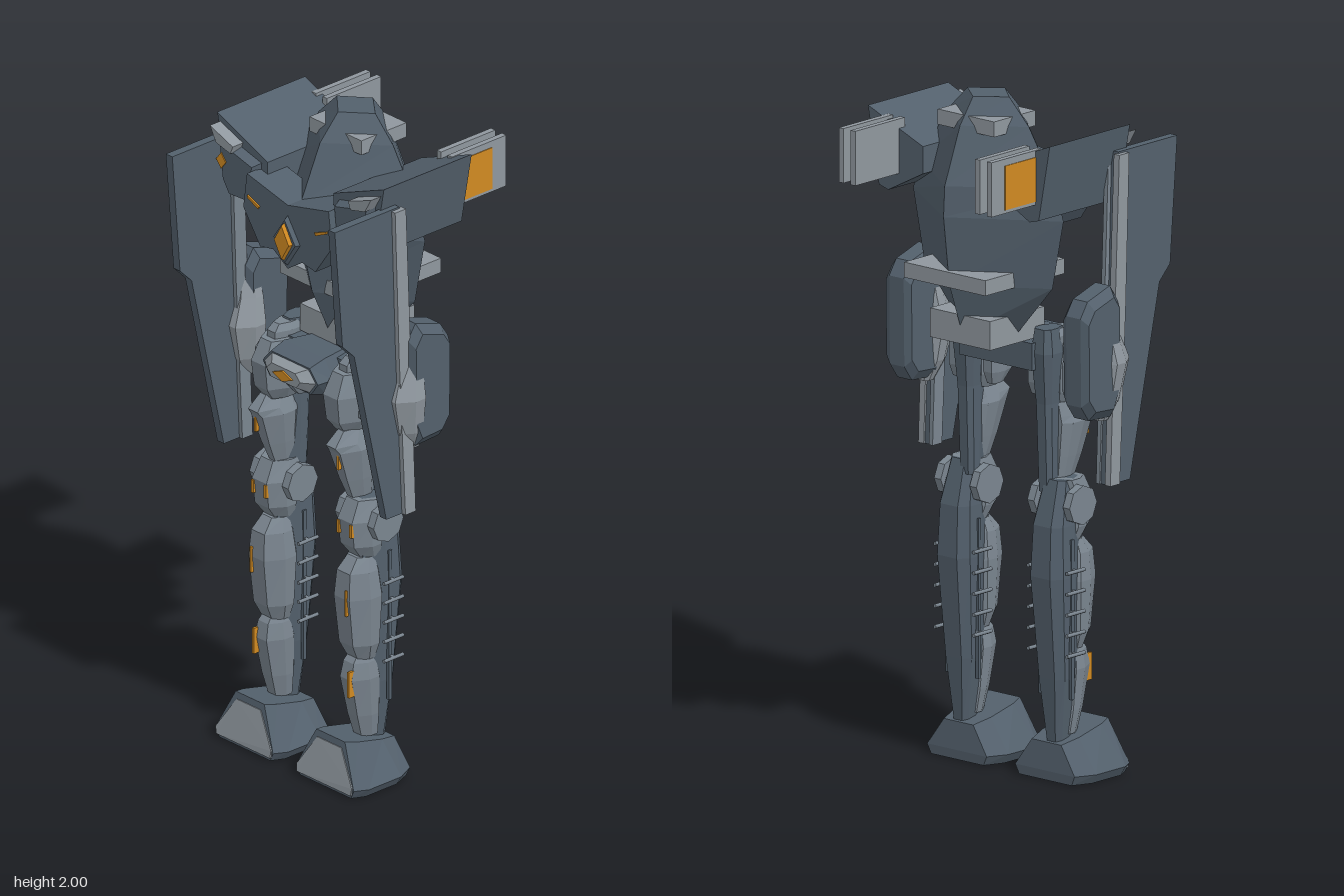
import * as THREE from 'three';

const armour = new THREE.MeshStandardMaterial({ color: 0x53606c });
armour.name = 'dark slate armour';
const light = new THREE.MeshStandardMaterial({ color: 0x8f979e });
light.name = 'light grey metal';
const grey = new THREE.MeshStandardMaterial({ color: 0x7a858f });
grey.name = 'mid grey plating';
const orange = new THREE.MeshStandardMaterial({ color: 0xd08a22 });
orange.name = 'orange glow';

// Faceted solid through rings of [x, y, z] corners, capped at both ends
function loft(rings) {
  const tris = [];
  const n = rings[0].length;
  for (let r = 0; r < rings.length - 1; r++) {
    for (let i = 0; i < n; i++) {
      const j = (i + 1) % n, a = rings[r], b = rings[r + 1];
      tris.push([a[i], a[j], b[j]], [a[i], b[j], b[i]]);
    }
  }
  const cap = (ring, flip) => {
    const flat = ring.map(p => new THREE.Vector3(...p));
    const normal = new THREE.Vector3();
    flat.forEach((p, i) => normal.add(p.clone().cross(flat[(i + 1) % n])));
    const ax = Math.abs(normal.x), ay = Math.abs(normal.y), az = Math.abs(normal.z);
    const to2 = p => ax > ay && ax > az ? new THREE.Vector2(p.y, p.z)
      : ay > az ? new THREE.Vector2(p.z, p.x) : new THREE.Vector2(p.x, p.y);
    const lead = ax > ay && ax > az ? normal.x : ay > az ? normal.y : normal.z;
    for (const f of THREE.ShapeUtils.triangulateShape(flat.map(to2), [])) {
      const [a, b, c] = f.map(i => ring[i]);
      const t = f.map(i => to2(flat[i]));
      const turn = t[1].clone().sub(t[0]).cross(t[2].clone().sub(t[0])) * lead > 0;
      tris.push(turn === flip ? [a, c, b] : [a, b, c]);
    }
  };
  cap(rings[0], true);
  cap(rings[rings.length - 1], false);
  // Turn the faces outwards if the rings ran the other way
  let volume = 0;
  for (const [a, b, c] of tris) {
    volume += new THREE.Vector3(...a).dot(new THREE.Vector3(...b).cross(new THREE.Vector3(...c)));
  }
  const points = tris.flatMap(t => (volume < 0 ? [t[0], t[2], t[1]] : t)).flat();
  const geo = new THREE.BufferGeometry();
  geo.setAttribute('position', new THREE.Float32BufferAttribute(points, 3));
  geo.computeVertexNormals();
  return geo;
}

function add(parent, name, geo, mat) {
  const mesh = new THREE.Mesh(geo, mat);
  mesh.name = name;
  parent.add(mesh);
  return mesh;
}
// Box by its limits
function box(parent, name, mat, x0, x1, y0, y1, z0, z1) {
  const geo = new THREE.BoxGeometry(Math.abs(x1 - x0), y1 - y0, z1 - z0);
  return add(parent, name, geo.translate((x0 + x1) / 2, (y0 + y1) / 2, (z0 + z1) / 2), mat);
}
// Outline in x,y carried along z; s mirrors it
const frontPrism = (pts, z0, z1, s = 1, scale = 1) => {
  const cx = pts.reduce((t, p) => t + p[0], 0) / pts.length;
  const cy = pts.reduce((t, p) => t + p[1], 0) / pts.length;
  return loft([
    pts.map(([x, y]) => [s * x, y, z0]),
    pts.map(([x, y]) => [s * (cx + (x - cx) * scale), cy + (y - cy) * scale, z1]),
  ]);
};
// Outline in z,y carried along x
const sidePrism = (pts, x0, x1) => loft([x0, x1].map(x => pts.map(([z, y]) => [x, y, z])));
const diamond = (x, y, w, h) => [[x - w, y], [x, y - h], [x + w, y], [x, y + h]];
// Upright pod with a chamfered front: rows of [y, half width, back z, front z]
const pod = (cx, rows) => loft(rows.map(([y, w, b, f]) => {
  const m = b + (f - b) * 0.55;
  return [[cx - w * 0.6, y, b], [cx - w, y, b + (f - b) * 0.2], [cx - w, y, m], [cx - w * 0.5, y, f],
    [cx + w * 0.5, y, f], [cx + w, y, m], [cx + w, y, b + (f - b) * 0.2], [cx + w * 0.6, y, b]];
}));

function buildTorso(root) {
  const g = new THREE.Group();
  g.name = 'torso';
  root.add(g);
  // Four-sided hull: [y, half width, back z, front z]
  const rows = [[1.27, 0.07, -0.12, 0.02], [1.31, 0.11, -0.16, 0.05], [1.465, 0.245, -0.215, 0.12],
    [1.67, 0.287, -0.24, 0.17], [1.76, 0.26, -0.235, 0.165], [1.925, 0.155, -0.17, 0.09], [2, 0.08, -0.115, 0.02]];
  add(g, 'hull', loft(rows.map(([y, w, b, f]) => [[0, y, f], [w, y, -0.05], [0, y, b], [-w, y, -0.05]])), armour);
  // Slabs whose corners break through the hull
  box(g, 'headSlab', light, -0.108, 0.108, 1.905, 1.95, -0.145, 0.03);
  box(g, 'waistSlab', light, -0.155, 0.155, 1.465, 1.51, -0.235, 0.1);
  box(g, 'hipSlab', light, -0.115, 0.115, 1.285, 1.37, -0.17, 0.06);
  // Chest shield
  const chest = [[-0.17, 1.81], [-0.185, 1.7], [-0.115, 1.6], [-0.06, 1.61], [0, 1.57], [0.06, 1.61],
    [0.115, 1.6], [0.185, 1.7], [0.17, 1.81], [0, 1.77]];
  add(g, 'chestShield', frontPrism(chest, 0.09, 0.215), armour);
  add(g, 'chestBoss', frontPrism(diamond(0, 1.66, 0.06, 0.09), 0.2, 0.228, 1, 0.75), armour);
  add(g, 'chestGem', frontPrism(diamond(0, 1.66, 0.036, 0.062), 0.22, 0.24, 1, 0.85), orange);
  for (const s of [-1, 1]) {
    const slit = [[0.115, 1.725], [0.165, 1.745], [0.165, 1.738], [0.12, 1.717]];
    add(g, 'chestSlit', frontPrism(slit, 0.213, 0.22, s), orange);
  }
}

function buildPelvis(root) {
  const g = new THREE.Group();
  g.name = 'pelvis';
  root.add(g);
  box(g, 'pelvisCore', armour, -0.14, 0.14, 1.2, 1.28, -0.02, 0.1);
  const ring = (w, h, z) => [[-w, 1.24, z], [-w * 0.75, 1.24 - h, z], [w * 0.75, 1.24 - h, z],
    [w, 1.24, z], [w * 0.7, 1.24 + h, z], [-w * 0.7, 1.24 + h, z]];
  add(g, 'pelvisCowl', loft([ring(0.09, 0.05, 0.04), ring(0.12, 0.055, 0.15), ring(0.115, 0.04, 0.205)]), armour);
  add(g, 'pelvisFace', loft([ring(0.114, 0.038, 0.2), ring(0.07, 0.022, 0.232)]), light);
  add(g, 'pelvisGem', frontPrism(diamond(0, 1.238, 0.04, 0.017), 0.23, 0.238), orange);
}

function buildArm(root, s) {
  const g = new THREE.Group();
  g.name = s > 0 ? 'leftArm' : 'rightArm';
  root.add(g);
  // Shoulder block and its front panel
  const block = [[0.347, 1.925], [0.305, 1.7], [0.27, 1.69], [0.137, 1.76], [0.137, 1.84]];
  add(g, 'shoulderBlock', frontPrism(block, -0.175, 0.165, s), armour);
  const panel = [[0.315, 1.87], [0.16, 1.83], [0.175, 1.7], [0.27, 1.695], [0.3, 1.74]];
  add(g, 'shoulderPanel', frontPrism(panel, 0.16, 0.195, s, 0.85), armour);
  const badge = [[0.335, 1.9], [0.24, 1.865], [0.25, 1.84], [0.31, 1.855]];
  add(g, 'shoulderBadge', frontPrism(badge, 0.16, 0.205, s), light);
  add(g, 'shoulderGem', frontPrism(diamond(0.297, 1.8, 0.02, 0.025), 0.165, 0.198, s), orange);
  // Twin plates behind the shoulder
  for (const x of [0.238, 0.283]) {
    box(g, 'rearPlate', light, s * (x - 0.009), s * (x + 0.009), 1.745, 1.905, -0.36, -0.15);
    box(g, 'rearPlateGlow', orange, s * (x + 0.009), s * (x + 0.0115), 1.755, 1.885, -0.305, -0.172);
  }
  // Long blade shield with a pale backing strip
  const blade = [[0.36, 1.855], [0.33, 1.485], [0.285, 1.44], [0.16, 0.885], [0.065, 0.885], [0.075, 1.1], [0.1, 1.5], [0.11, 1.855]];
  add(g, 'bladeShield', sidePrism(blade, s * 0.325, s * 0.352), armour);
  const strip = [[0.14, 1.85], [0.125, 1.4], [0.1, 0.885], [0.06, 0.885], [0.08, 1.4], [0.098, 1.85]];
  add(g, 'bladeStrip', sidePrism(strip, s * 0.346, s * 0.367), light);
  add(g, 'bladeInnerStrip', sidePrism(strip, s * 0.312, s * 0.326), grey);
  // Forearm pod with a faceted front
  const profile = (k) => [[0.06, 1.475], [-0.035, 1.445], [-0.065, 1.4], [-0.062, 1.14], [-0.03, 1.095], [0.06, 1.09], [0.085, 1.15], [0.09, 1.43]]
    .map(([z, y]) => [0.01 + (z - 0.01) * k, 1.28 + (y - 1.28) * k]);
  const slice = (x, k) => profile(k).map(([z, y]) => [s * x, y, z]);
  add(g, 'forearmPod', loft([slice(0.29, 0.85), slice(0.31, 1), slice(0.365, 1), slice(0.388, 0.85)]), armour);
  add(g, 'forearmFacets', pod(s * 0.333, [[1.08, 0.025, 0.03, 0.08], [1.14, 0.05, 0.03, 0.115],
    [1.25, 0.068, 0.03, 0.14], [1.33, 0.05, 0.03, 0.11], [1.42, 0.025, 0.04, 0.09]]), light);
}

function buildLeg(root, s) {
  const g = new THREE.Group();
  g.name = s > 0 ? 'leftLeg' : 'rightLeg';
  root.add(g);
  const hx = s * 0.15, kx = s * 0.178, fx = s * 0.168;
  // Hip and thigh
  add(g, 'thighColumn', pod(hx, [[0.84, 0.025, 0.015, 0.08], [1.1, 0.028, 0.005, 0.09], [1.25, 0.04, -0.01, 0.1], [1.32, 0.03, 0, 0.08]]), armour);
  add(g, 'hipKnob', pod(hx, [[1.24, 0.03, 0.03, 0.14], [1.295, 0.034, 0.03, 0.14], [1.315, 0.024, 0.04, 0.12]]), grey);
  add(g, 'hipPlate', pod(hx, [[1.09, 0.035, 0.06, 0.15], [1.13, 0.055, 0.05, 0.18], [1.21, 0.06, 0.05, 0.19], [1.275, 0.045, 0.06, 0.16]]), grey);
  for (const d of [-1, 1]) {
    add(g, 'hipSidePod', pod(hx + d * 0.065, [[1.11, 0.016, 0.05, 0.1], [1.145, 0.026, 0.04, 0.13],
      [1.215, 0.026, 0.04, 0.13], [1.25, 0.016, 0.05, 0.1]]), grey);
  }
  add(g, 'thighPlate', pod(hx + s * 0.012, [[0.87, 0.022, 0.05, 0.12], [0.94, 0.034, 0.05, 0.15],
    [1.04, 0.048, 0.05, 0.185], [1.06, 0.04, 0.05, 0.2], [1.1, 0.024, 0.05, 0.16]]), grey);
  box(g, 'thighLight', orange, hx + s * 0.018, hx + s * 0.025, 0.985, 1.03, 0.17, 0.182);
  // Knee with side discs
  add(g, 'kneePlate', pod(kx, [[0.7, 0.045, 0.05, 0.12], [0.74, 0.058, 0.05, 0.15], [0.82, 0.06, 0.05, 0.16], [0.88, 0.05, 0.03, 0.13]]), grey);
  for (const d of [-1, 1]) {
    const disc = new THREE.CylinderGeometry(0.058, 0.058, 0.026, 8).toNonIndexed();
    disc.rotateZ(Math.PI / 2).translate(kx + d * 0.068, 0.81, 0.065).computeVertexNormals();
    add(g, 'kneeDisc', disc, grey);
    box(g, 'kneeLight', orange, kx + d * 0.026 - 0.005, kx + d * 0.026 + 0.005, 0.775, 0.815, 0.15, 0.163);
  }
  // Shin: dark spine behind, pale plates in front
  add(g, 'shinSpine', pod(kx, [[0.1, 0.025, 0.02, 0.1], [0.3, 0.05, 0, 0.11], [0.6, 0.062, -0.028, 0.12],
    [0.75, 0.056, -0.02, 0.115], [0.88, 0.04, 0.02, 0.11]]), armour);
  add(g, 'shinPlate', pod(kx, [[0.38, 0.042, 0.07, 0.13], [0.43, 0.058, 0.06, 0.155], [0.58, 0.064, 0.05, 0.172],
    [0.66, 0.055, 0.06, 0.165], [0.7, 0.04, 0.07, 0.13]]), grey);
  add(g, 'anklePlate', pod(kx, [[0.13, 0.032, 0.05, 0.11], [0.2, 0.042, 0.05, 0.13], [0.32, 0.05, 0.05, 0.155],
    [0.37, 0.042, 0.06, 0.145], [0.4, 0.032, 0.07, 0.12]]), grey);
  box(g, 'shinLight', orange, kx + s * 0.016, kx + s * 0.023, 0.53, 0.61, 0.16, 0.176);
  box(g, 'ankleLight', orange, kx + s * 0.016, kx + s * 0.024, 0.27, 0.35, 0.145, 0.165);
  // Side rods and rungs
  for (const d of [-1, 1]) {
    box(g, 'shinRod', armour, kx + d * 0.058 - 0.005, kx + d * 0.058 + 0.005, 0.24, 0.71, 0.035, 0.047);
    for (let i = 0; i < 5; i++) {
      const rung = new THREE.CylinderGeometry(0.006, 0.006, 0.075, 6).rotateX(Math.PI / 2);
      add(g, 'shinRung', rung.translate(kx + d * 0.074, 0.375 + i * 0.061, 0.04), grey);
      box(g, 'rungPeg', grey, kx + d * 0.03, kx + d * 0.074, 0.37 + i * 0.061, 0.38 + i * 0.061, 0.035, 0.045);
    }
  }
  // Foot: wedge with a faceted toe face
  const base = (w, y, b, f) => [[fx - w * 0.8, y, b], [fx - w, y, b + 0.06], [fx - w, y, f - 0.04], [fx - w * 0.85, y, f],
    [fx + w * 0.85, y, f], [fx + w, y, f - 0.04], [fx + w, y, b + 0.06], [fx + w * 0.8, y, b]];
  const top = base(0.07, 0.155, 0.01, 0.205).map(([x, y, z]) => [x, 0.11 + (z - 0.01) * 0.23, z]);
  add(g, 'foot', loft([base(0.125, 0, 0.005, 0.225), base(0.142, 0.028, 0.003, 0.228), top]), armour);
  const toe = (z) => [[fx - 0.112, 0.012, z + 0.022], [fx + 0.112, 0.012, z + 0.022], [fx + 0.115, 0.035, z + 0.02],
    [fx + 0.05, 0.135, z], [fx - 0.05, 0.135, z], [fx - 0.115, 0.035, z + 0.02]];
  add(g, 'toeFace', loft([toe(0.2), toe(0.211)]), light);
}

export function createModel() {
  const root = new THREE.Group();
  root.name = 'walkingRobot';
  buildTorso(root);
  buildPelvis(root);
  for (const s of [-1, 1]) {
    buildArm(root, s);
    buildLeg(root, s);
  }
  root.position.x = -0.006;
  return root;
}
